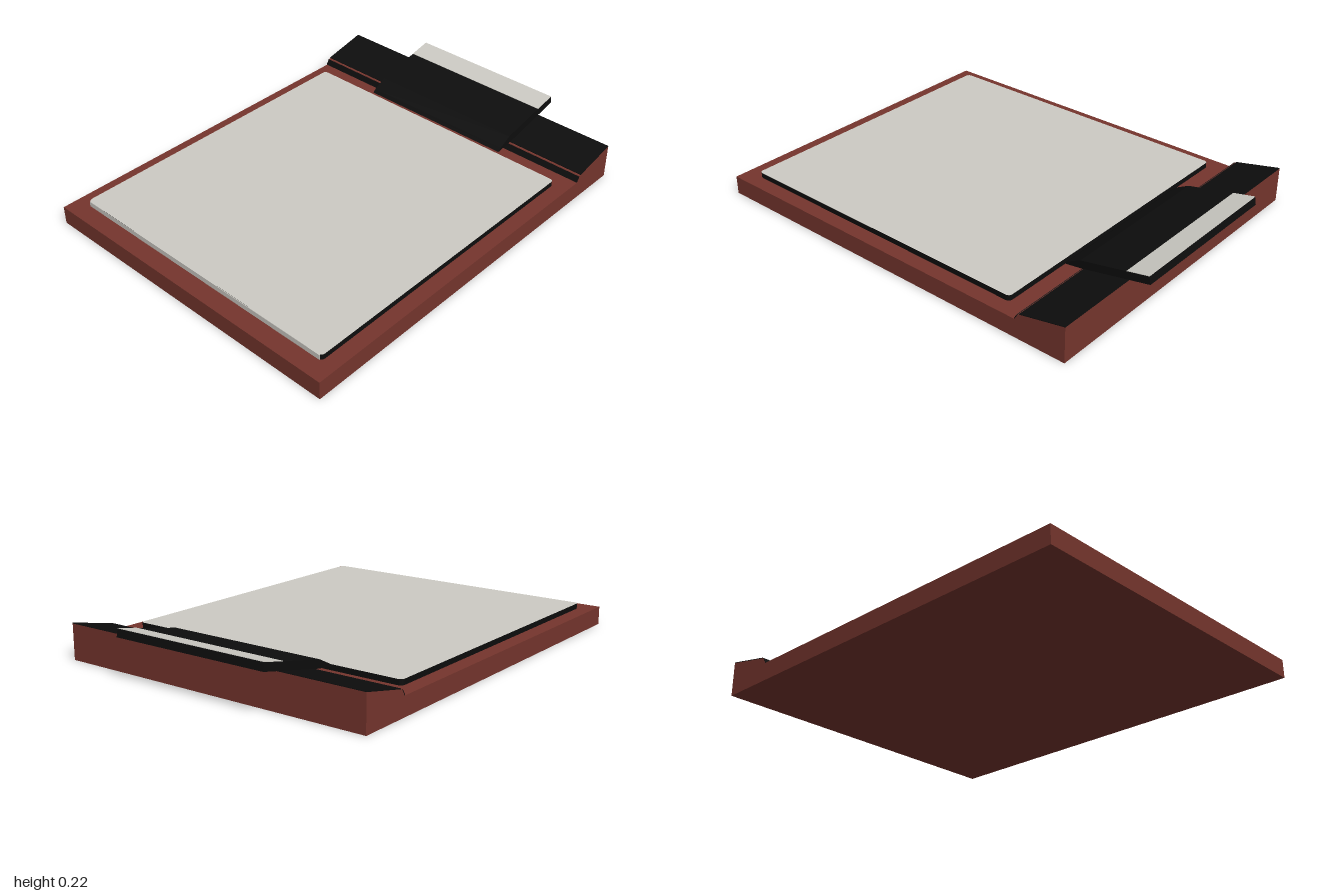
import * as THREE from 'three';

const paint = (name, color) => {
  const m = new THREE.MeshStandardMaterial({ color });
  m.name = name;
  return m;
};

export function createModel() {
  const group = new THREE.Group();
  const red = paint('brick red', 0x75352d);
  const black = paint('black', 0x0d0d0d);
  const light = paint('paper grey', 0xcdcbc4);

  const add = (name, geometry, material) => {
    const mesh = new THREE.Mesh(geometry, material);
    mesh.name = name;
    group.add(mesh);
  };

  // Side profile of [z, y] points, extruded across the width
  const profile = (points, width) => {
    const shape = new THREE.Shape(points.map(([z, y]) => new THREE.Vector2(-z, y)));
    return new THREE.ExtrudeGeometry(shape, { depth: width, bevelEnabled: false })
      .translate(0, 0, -width / 2).rotateY(Math.PI / 2);
  };

  // Thin plate lying on a profile edge, raised by t along its upper normal
  const plate = ([z0, y0], [z1, y1], width, t) => {
    const len = Math.hypot(z1 - z0, y1 - y0);
    const nz = (y1 - y0) / len * t, ny = -(z1 - z0) / len * t;
    return profile([[z0, y0], [z1, y1], [z1 + nz, y1 + ny], [z0 + nz, y0 + ny]], width);
  };

  // Board with the raised wedge at the back
  add('board', profile([
    [1, 0], [1, 0.085], [-0.66, 0.085], [-0.677, 0.114], [-0.9, 0.162], [-0.9, 0],
  ], 1.54), red);
  add('wedgeFrontFace', plate([-0.66, 0.086], [-0.675, 0.111], 1.54, 0.003), black);
  add('wedgeTopFace', plate([-0.684, 0.1155], [-0.9, 0.162], 1.54, 0.003), black);

  // Paper stack with rounded corners
  const w = 0.7, front = 0.915, back = -0.575, r = 0.02;
  const sheet = new THREE.Shape();
  sheet.moveTo(-w + r, -front);
  sheet.lineTo(w - r, -front);
  sheet.quadraticCurveTo(w, -front, w, -front + r);
  sheet.lineTo(w, -back - r);
  sheet.quadraticCurveTo(w, -back, w - r, -back);
  sheet.lineTo(-w + r, -back);
  sheet.quadraticCurveTo(-w, -back, -w, -back - r);
  sheet.lineTo(-w, -front + r);
  sheet.quadraticCurveTo(-w, -front, -w + r, -front);
  add('paperStack', new THREE.ExtrudeGeometry(sheet, {
    depth: 0.025, bevelEnabled: false, curveSegments: 4,
  }).rotateX(-Math.PI / 2).translate(0, 0.085, 0), [light, black]);
  add('paperFrontEdge', new THREE.BoxGeometry(1.38, 0.0245, 0.004)
    .translate(0, 0.0975, front), light);

  // Clip: bent bar rising past the back of the board
  add('clip', profile([
    [-0.59, 0.108], [-0.605, 0.122], [-0.67, 0.156], [-0.993, 0.223], [-1, 0.188], [-0.68, 0.121],
  ], 0.77), black);
  add('clipLightStrip', plate([-0.89, 0.2016], [-0.993, 0.223], 0.77, 0.002), light);

  return group;
}
